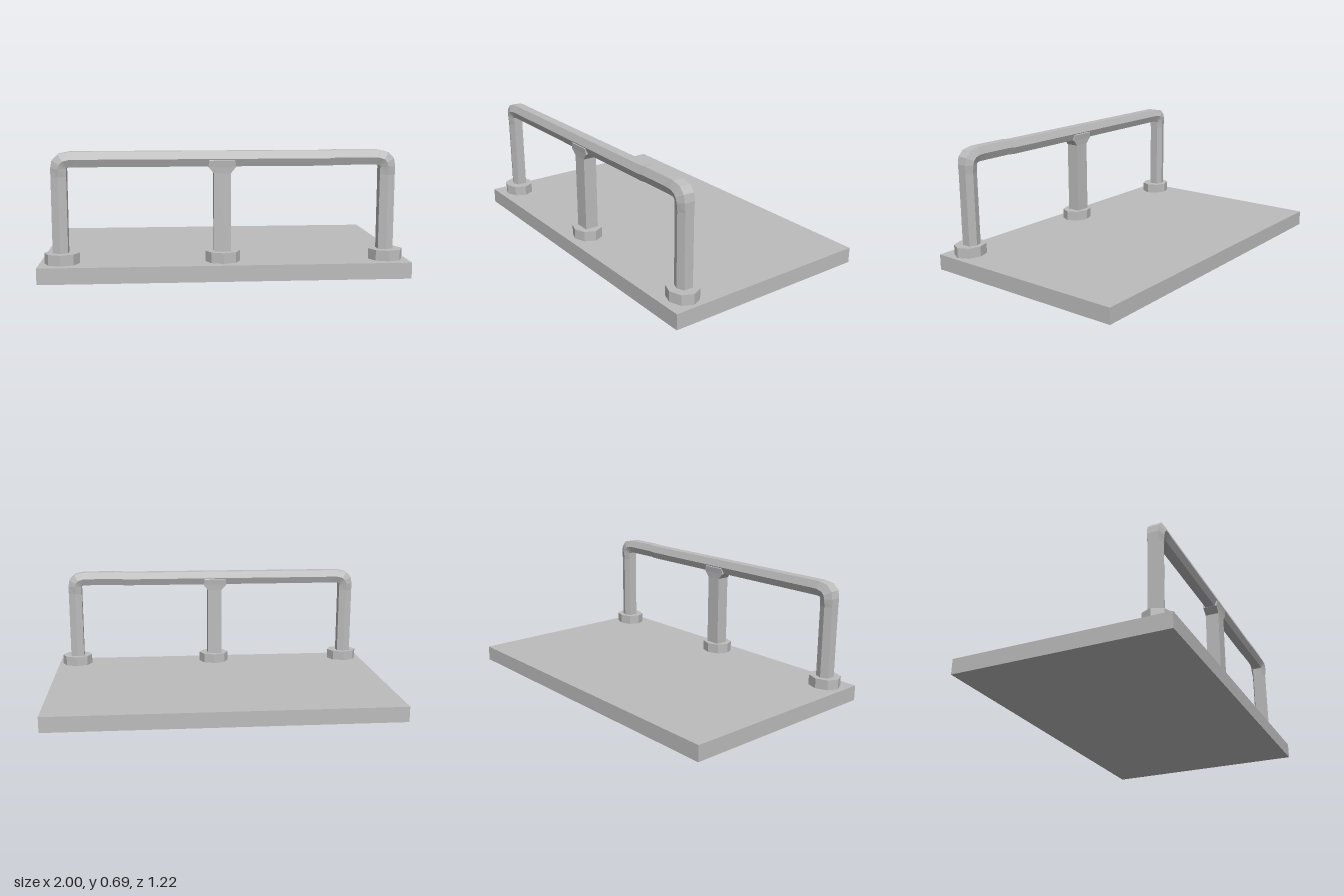
import * as THREE from 'three';

const RAIL_Z = 0.478;

// Skin a list of equal-length rings (counter-clockwise about the travel direction)
function loft(rings) {
  const pos = [];
  for (let r = 0; r < rings.length - 1; r++) {
    const a = rings[r], b = rings[r + 1], n = a.length;
    for (let i = 0; i < n; i++) {
      const j = (i + 1) % n;
      pos.push(...a[i], ...a[j], ...b[i], ...a[j], ...b[j], ...b[i]);
    }
  }
  const g = new THREE.BufferGeometry();
  g.setAttribute('position', new THREE.Float32BufferAttribute(pos, 3));
  g.computeVertexNormals();
  return g;
}

// Hexagonal bar section, points given as [outward, z]
const HEX = [[0.041, -0.027], [0.041, 0.027], [0, 0.043], [-0.041, 0.027], [-0.041, -0.027], [0, -0.043]];
function barRing([x, y, degrees, outer = 1, wide = 1]) {
  const t = THREE.MathUtils.degToRad(degrees);
  return HEX.map(([n, z]) => {
    const k = n > 0 ? n * outer : n;
    return [x - Math.sin(t) * k, y + Math.cos(t) * k, RAIL_Z + z * wide];
  });
}

// Rectangular post section
const rectRing = (x, y, w, d) => [[-w, d], [w, d], [w, -d], [-w, -d]].map(([dx, dz]) => [x + dx, y, RAIL_Z + dz]);

export function createModel() {
  const group = new THREE.Group();
  const grey = new THREE.MeshStandardMaterial({ color: 0xbcbcbc, flatShading: true });
  grey.name = 'plain grey';
  const add = (name, geometry, x = 0, y = 0, z = 0) => {
    const mesh = new THREE.Mesh(geometry, grey);
    mesh.name = name;
    mesh.position.set(x, y, z);
    group.add(mesh);
  };

  // Base slab
  add('baseSlab', new THREE.BoxGeometry(2, 0.088, 1.22), 0, 0.044, 0);

  // Bent handrail with both end posts in one sweep
  const stations = [
    [-0.885, 0.1, 90],
    [-0.885, 0.555, 90],
    [-0.885, 0.6, 88, 1, 1.12],
    [-0.878, 0.622, 62, 1.1, 1.14],
    [-0.862, 0.638, 32, 1.1, 1.12],
    [-0.825, 0.647, 2, 1, 1.05],
    [-0.78, 0.647, 0],
    [0.56, 0.647, 0],
    [0.6, 0.651, 0],
    [0.78, 0.651, 0],
    [0.825, 0.65, -2, 1, 1.05],
    [0.858, 0.64, -32, 1.1, 1.12],
    [0.873, 0.624, -62, 1.1, 1.14],
    [0.88, 0.602, -88, 1, 1.12],
    [0.88, 0.555, -90],
    [0.88, 0.1, -90],
  ];
  add('handrail', loft(stations.map(barRing)));

  // Middle post, flaring into the rail
  add('middlePost', loft([
    rectRing(-0.018, 0.1, 0.045, 0.039),
    rectRing(-0.018, 0.57, 0.045, 0.039),
    rectRing(-0.02, 0.605, 0.075, 0.041),
    rectRing(-0.02, 0.638, 0.07, 0.045),
    rectRing(-0.02, 0.66, 0.03, 0.02),
  ]));

  // Octagonal foot collars
  const collar = new THREE.CylinderGeometry(0.094, 0.094, 0.062, 8);
  collar.scale(1, 1, 0.88);
  [['rightCollar', -0.879], ['middleCollar', -0.014], ['leftCollar', 0.884]]
    .forEach(([name, x]) => add(name, collar, x, 0.115, 0.486));

  return group;
}
